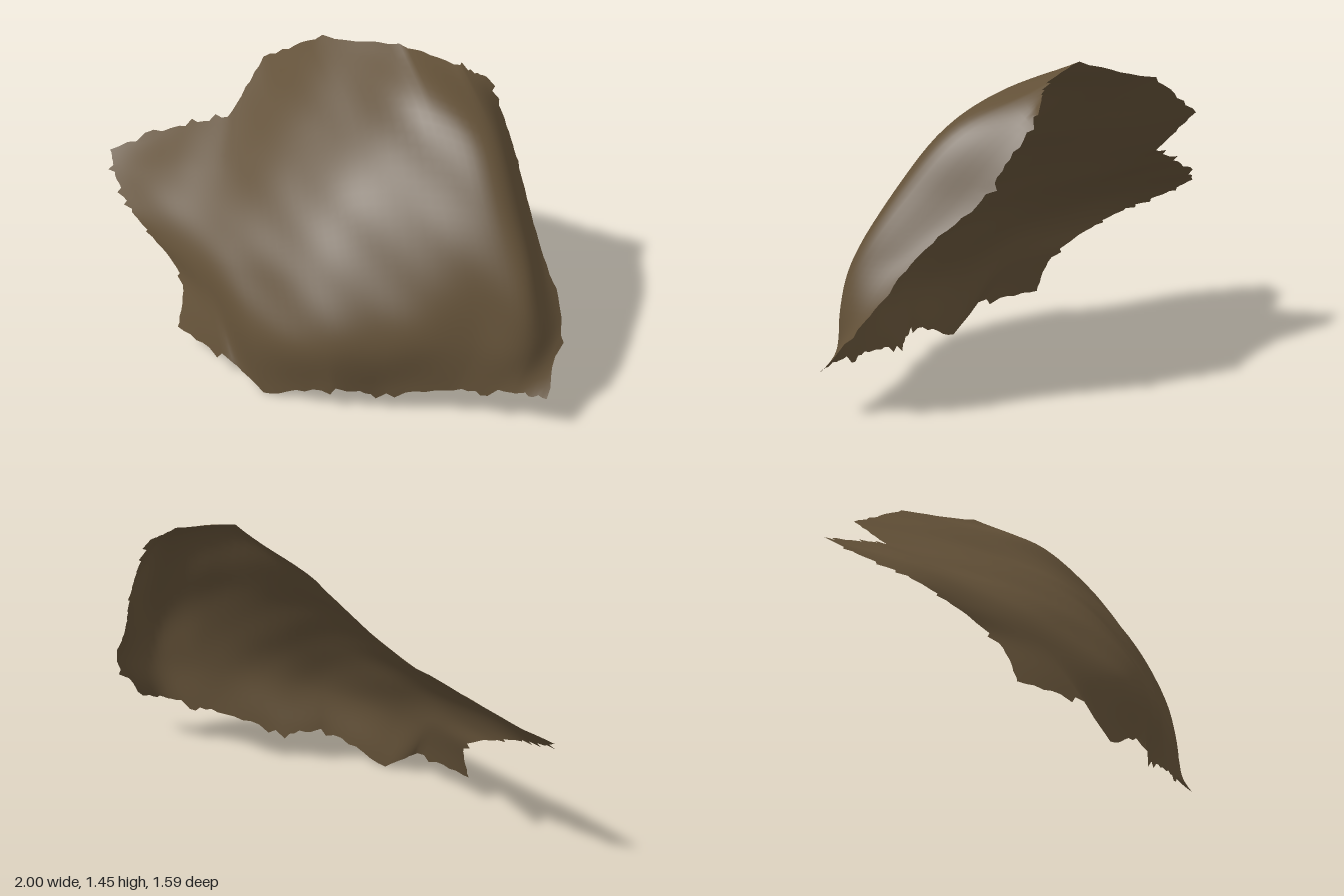
import * as THREE from 'three';

// Control rows from the lower rim to the upper rim, each running left rim to right rim
const ROWS = [
  [[-.72, .12, 0], [-.49, .13, .27], [-.34, 0, .38], [-.05, .13, .54], [.16, .11, .57], [.5, .18, .66], [.74, .22, .75], [.89, .21, .80]],
  [[-.69, .34, -.10], [-.55, .34, .10], [-.38, .31, .33], [-.07, .36, .54], [.2, .40, .60], [.56, .44, .67], [.81, .46, .73], [.985, .49, .57]],
  [[-.81, .455, -.29], [-.62, .49, -.06], [-.42, .53, .15], [-.12, .60, .37], [.17, .66, .48], [.55, .70, .60], [.80, .71, .65], [.915, .73, .38]],
  [[-.91, .52, -.45], [-.65, .61, -.23], [-.43, .67, -.04], [-.16, .81, .14], [.13, .93, .25], [.5, .99, .42], [.75, .97, .48], [.87, .93, .14]],
  [[-.98, .59, -.65], [-.68, .72, -.47], [-.45, .80, -.32], [-.2, .99, -.27], [.11, 1.19, -.12], [.43, 1.31, .12], [.70, 1.23, .23], [.82, 1.12, .01]],
  [[-1, .66, -.79], [-.65, .82, -.70], [-.42, .92, -.59], [-.23, 1.14, -.77], [0, 1.32, -.60], [.35, 1.455, -.25], [.61, 1.40, -.12], [.73, 1.34, -.11]],
];

const NU = 56, NV = 40;

function seeded(seed) {
  return () => (seed = (seed * 16807) % 2147483647) / 2147483647;
}

const smoothLine = (points) => new THREE.CatmullRomCurve3(points, false, 'centripetal');

// Gentle dents and ridges of weathered stone
function relief(p) {
  return 0.006 * Math.sin(9 * p.x + 4 * p.y) * Math.cos(8 * p.z - 5 * p.y)
    + 0.003 * Math.sin(21 * p.x - 13 * p.z) * Math.sin(17 * p.y + 6 * p.z);
}

// Straight runs with sharp corners, for the two broken rims
function cornerPoint(points, t) {
  const f = t * (points.length - 1);
  const k = Math.min(Math.floor(f), points.length - 2);
  return points[k].clone().lerp(points[k + 1], f - k);
}

function shellGeometry() {
  // Grid through the control rows: angular at both rims, smooth in between
  const rows = ROWS.map((row) => row.map((p) => new THREE.Vector3(...p)));
  const curves = rows.map(smoothLine);
  const grid = Array.from({ length: NV + 1 }, () => []);
  for (let i = 0; i <= NU; i++) {
    const t = i / NU;
    const column = smoothLine(rows.map((row, r) =>
      (r === 0 || r === rows.length - 1) ? cornerPoint(row, t) : curves[r].getPoint(t)));
    for (let j = 0; j <= NV; j++) grid[j].push(column.getPoint(j / NV));
  }

  // Relief along the main facing direction of the shell
  const facing = new THREE.Vector3(-0.35, 0.65, 0.67);
  grid.flat().forEach((p) => p.addScaledVector(facing, relief(p)));

  // Broken rim: irregular teeth pushed out from, or bitten into, the border
  const random = seeded(77);
  const chip = (rim, inner) => {
    const out = rim.clone().sub(inner).normalize();
    const r = random();
    rim.addScaledVector(out, r > 0.88 ? 0.03 : (r - 0.5) * 0.02);
  };
  for (let i = 0; i <= NU; i++) {
    chip(grid[0][i], grid[2][i]);
    chip(grid[NV][i], grid[NV - 2][i]);
  }
  for (let j = 1; j < NV; j++) {
    chip(grid[j][0], grid[j][2]);
    chip(grid[j][NU], grid[j][NU - 2]);
  }

  const index = [];
  const w = NU + 1;
  for (let j = 0; j < NV; j++) {
    for (let i = 0; i < NU; i++) {
      const a = j * w + i, b = a + 1, c = a + w, d = c + 1;
      index.push(a, b, d, a, d, c);
    }
  }
  const geometry = new THREE.BufferGeometry().setFromPoints(grid.flat());
  geometry.setIndex(index);
  geometry.computeVertexNormals();

  // Stand on the ground
  geometry.computeBoundingBox();
  geometry.translate(0, -geometry.boundingBox.min.y, 0);
  return geometry;
}

export function createModel() {
  const stone = new THREE.MeshStandardMaterial({ color: 0x625037, side: THREE.DoubleSide });
  stone.name = 'brownStone';
  const shell = new THREE.Mesh(shellGeometry(), stone);
  shell.name = 'rockShell';
  const group = new THREE.Group();
  group.name = 'rockFragment';
  group.add(shell);
  return group;
}
